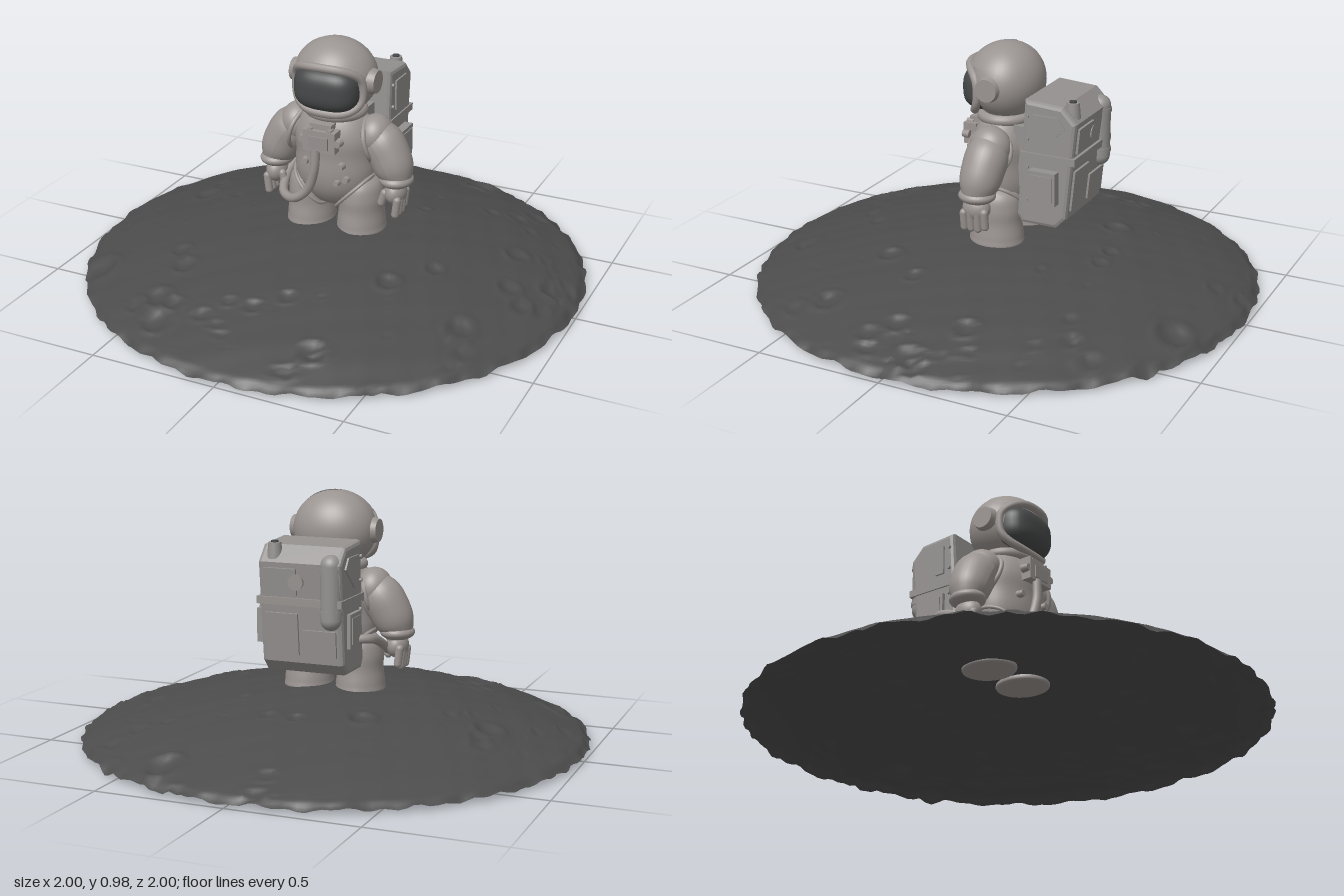
import * as THREE from 'three';

const mat = (name, color, side = THREE.FrontSide) => {
  const m = new THREE.MeshStandardMaterial({ color, side });
  m.name = name;
  return m;
};

export function createModel() {
  const suit = mat('suit grey', 0x9a9491);
  const pack = mat('pack grey', 0x94918f);
  const visorMat = mat('visor dark', 0x474849);
  const rock = mat('moon rock', 0x4c4c4c, THREE.DoubleSide);
  const root = new THREE.Group();
  root.name = 'astronautOnMoon';

  // ---- helpers ----
  const V = (x, y, z) => new THREE.Vector3(x, y, z);
  const add = (name, geo, material, x = 0, y = 0, z = 0) => {
    const m = new THREE.Mesh(geo, material);
    m.name = name;
    m.position.set(x, y, z);
    root.add(m);
    return m;
  };
  const ball = (name, material, x, y, z, rx, ry, rz) =>
    add(name, new THREE.SphereGeometry(1, 40, 28).scale(rx, ry, rz), material, x, y, z);
  const box = (name, material, x, y, z, w, h, d) =>
    add(name, new THREE.BoxGeometry(w, h, d), material, x, y, z);
  const lathe = (name, pts, zScale, x, z) => {
    const curve = new THREE.SplineCurve(pts.map(p => new THREE.Vector2(...p)));
    const profile = curve.getPoints(30).map(p => p.setX(Math.max(p.x, 0)));
    return add(name, new THREE.LatheGeometry(profile, 44).scale(1, 1, zScale), suit, x, 0, z);
  };
  const tube = (name, material, pts, r, closed = false) =>
    add(name, new THREE.TubeGeometry(new THREE.CatmullRomCurve3(pts, closed), 56, r, 10, closed), material);
  // Tube whose radius follows a list of values along its length
  const taper = (name, pts, radii) => {
    const curve = new THREE.CatmullRomCurve3(pts);
    const n = 32, sides = 28;
    const geo = new THREE.TubeGeometry(curve, n, 1, sides);
    const radius = new THREE.SplineCurve(radii.map((r, i) => new THREE.Vector2(i, r)));
    const p = geo.attributes.position, v = new THREE.Vector3();
    for (let i = 0; i < p.count; i++) {
      const u = Math.floor(i / (sides + 1)) / n;
      const c = curve.getPointAt(u);
      v.fromBufferAttribute(p, i).sub(c).multiplyScalar(radius.getPoint(u).y).add(c);
      p.setXYZ(i, v.x, v.y, v.z);
    }
    geo.computeVertexNormals();
    return add(name, geo, suit);
  };

  // ---- cratered ground: a thin open dome ----
  let seed = 11;
  const rnd = () => (seed = (seed * 16807) % 2147483647) / 2147483647;
  const craters = [[0.58, -0.54, 0.04], [0.63, -0.64, 0.045], [0.93, -0.1, 0.05], [-0.8, 0.5, 0.08], [-0.34, 0.7, 0.04], [0.32, -0.83, 0.07]];
  for (let i = 0; i < 120; i++) {
    const a = rnd() * Math.PI * 2, d = 0.36 + 0.64 * Math.sqrt(rnd());
    craters.push([d * Math.cos(a), d * Math.sin(a), 0.012 + 0.05 * rnd() ** 3]);
  }
  const ground = new THREE.RingGeometry(0.001, 1, 220, 110).rotateX(-Math.PI / 2);
  const gp = ground.attributes.position;
  for (let i = 0; i < gp.count; i++) {
    const x = gp.getX(i), z = gp.getZ(i), r = Math.hypot(x, z), a = Math.atan2(z, x);
    let y = 0.217 - 0.19 * r * r;
    y += 0.0025 * Math.sin(11 * x + 5 * z) * Math.sin(13 * z - 4 * x) + 0.0015 * Math.sin(37 * x + 9 * z) * Math.sin(31 * z - 12 * x);
    for (const [cx, cz, cr] of craters) {
      const t = Math.hypot(x - cx, z - cz) / cr;
      if (t < 1.6) y += cr * (0.12 * Math.exp(-(((t - 1) / 0.25) ** 2)) - (t < 1 ? 0.2 * (1 - t * t) : 0));
    }
    const edge = THREE.MathUtils.smoothstep(r, 0.96, 1);
    y -= edge * (0.009 + 0.005 * Math.sin(23 * a) + 0.004 * Math.sin(57 * a));
    const k = 1 - edge * 0.005 * (1 + Math.sin(41 * a + Math.sin(17 * a)));
    gp.setXYZ(i, x * k, Math.max(y, 0), z * k);
  }
  ground.computeVertexNormals();
  add('moonGround', ground, rock);

  // ---- torso and legs ----
  lathe('torso', [[0, 0.295], [0.08, 0.31], [0.14, 0.37], [0.163, 0.44], [0.162, 0.52], [0.165, 0.59], [0.14, 0.655], [0.1, 0.69], [0, 0.7]], 0.76, 0, 0);
  for (const s of [-1, 1]) {
    lathe('leg', [[0, 0.197], [0.088, 0.197], [0.094, 0.23], [0.088, 0.29], [0.088, 0.35], [0.07, 0.41], [0, 0.45]], 1.14, s * 0.108, -0.008);
    // hip seam, rising to the outside
    tube('hipSeam', suit, [V(s * 0.162, 0.44, 0), V(s * 0.14, 0.42, 0.075), V(s * 0.085, 0.365, 0.106), V(s * 0.035, 0.31, 0.075), V(s * 0.025, 0.3, 0),
      V(s * 0.035, 0.31, -0.075), V(s * 0.085, 0.365, -0.106), V(s * 0.14, 0.42, -0.075)], 0.007, true);
  }

  // ---- arms, cuffs and gloves ----
  for (const s of [-1, 1]) {
    ball('shoulder', suit, s * 0.165, 0.605, -0.01, 0.07, 0.08, 0.082);
    taper('sleeve', [V(s * 0.15, 0.625, -0.01), V(s * 0.2, 0.565, -0.01), V(s * 0.237, 0.5, -0.005), V(s * 0.256, 0.45, 0), V(s * 0.26, 0.415, 0.003)],
      [0.065, 0.083, 0.083, 0.075, 0.048]);
    ball('cuff', suit, s * 0.257, 0.438, 0, 0.067, 0.032, 0.073);
    tube('armholeSeam', suit, [V(s * 0.13, 0.67, 0), V(s * 0.15, 0.62, 0.078), V(s * 0.168, 0.55, 0.075), V(s * 0.17, 0.49, 0),
      V(s * 0.168, 0.55, -0.085), V(s * 0.15, 0.62, -0.085)], 0.009, true);
    ball('palm', suit, s * 0.257, 0.385, 0.003, 0.042, 0.05, 0.056);
    for (let i = 0; i < 4; i++) {
      const f = add('finger', new THREE.CapsuleGeometry(0.0155, 0.06, 5, 12), suit, s * 0.277, 0.338 + (i === 3 ? 0.012 : 0), 0.046 - i * 0.029);
      f.rotation.z = -s * 0.12;
    }
    const thumb = add('thumb', new THREE.CapsuleGeometry(0.016, 0.045, 5, 12), suit, s * 0.215, 0.362, 0.03);
    thumb.rotation.z = -s * 0.3;
  }

  // ---- helmet ----
  ball('helmet', suit, 0, 0.825, -0.005, 0.165, 0.15, 0.14);
  const collar = add('collar', new THREE.TorusGeometry(0.105, 0.022, 14, 48).rotateX(Math.PI / 2), suit, 0, 0.69, 0);
  collar.scale.z = 0.92;
  const hood = new THREE.SphereGeometry(1, 40, 16, 0, Math.PI, 0, 1.1).scale(0.167, 0.152, 0.162);
  const hoodMat = mat('hood grey', 0x9a9491, THREE.DoubleSide);
  add('hood', hood, hoodMat, 0, 0.825, -0.005);
  // boxy bulging visor
  const visor = new THREE.SphereGeometry(1, 48, 32);
  const vp = visor.attributes.position;
  for (let i = 0; i < vp.count; i++) {
    const x = vp.getX(i), y = vp.getY(i), z = vp.getZ(i);
    const k = Math.cbrt(Math.abs(x) ** 3 + Math.abs(y) ** 3 + Math.abs(z) ** 3);
    vp.setXYZ(i, 0.133 * x / k, 0.09 * y / k, 0.108 * z / k);
  }
  visor.computeVertexNormals();
  add('visor', visor, visorMat, 0, 0.8, 0.05);
  // frame around the visor
  const rim = [];
  for (let i = 0; i < 24; i++) {
    const t = i / 24 * Math.PI * 2, c = Math.cos(t), s = Math.sin(t);
    rim.push(V(0.141 * Math.sign(c) * Math.abs(c) ** 0.7, 0.8 + 0.096 * Math.sign(s) * Math.abs(s) ** 0.7,
      0.06 + (s > 0 ? 0.075 : 0.05) * s * s));
  }
  tube('visorFrame', suit, rim, 0.016, true);
  for (const s of [-1, 1]) {
    const ear = add('earPiece', new THREE.CylinderGeometry(0.044, 0.055, 0.04, 32), suit, s * 0.158, 0.825, 0.005);
    ear.rotation.z = -s * Math.PI / 2;
  }

  // ---- chest unit, studs and hose ----
  box('chestUnit', suit, 0, 0.605, 0.13, 0.135, 0.085, 0.055);
  box('chestUnitTop', suit, 0, 0.655, 0.118, 0.09, 0.03, 0.045);
  box('chestPlate', pack, 0, 0.6, 0.159, 0.08, 0.05, 0.008);
  const stud = (x, y, z, r) =>
    add('stud', new THREE.CylinderGeometry(r * 0.8, r, 0.03, 18).rotateX(Math.PI / 2), suit, x, y, z);
  for (const s of [-1, 1]) {
    stud(s * 0.075, 0.605, 0.14, 0.017);
    stud(s * 0.04, 0.648, 0.14, 0.011);
    stud(s * 0.075, 0.5, 0.116, 0.016);
  }
  stud(0.092, 0.445, 0.104, 0.015);
  stud(0.06, 0.43, 0.118, 0.013);
  tube('hose', suit, [V(-0.015, 0.57, 0.15), V(-0.022, 0.48, 0.152), V(-0.055, 0.39, 0.145), V(-0.12, 0.338, 0.135), V(-0.185, 0.335, 0.09),
    V(-0.215, 0.37, 0), V(-0.212, 0.42, -0.1), V(-0.205, 0.44, -0.18), V(-0.15, 0.44, -0.22)], 0.018);

  // ---- backpack ----
  const side = new THREE.Shape([[0.15, 0.81], [0.305, 0.8], [0.362, 0.74], [0.325, 0.36], [0.285, 0.317], [0.14, 0.317], [0.12, 0.35]].map(p => new THREE.Vector2(...p)));
  const body = new THREE.ExtrudeGeometry(side, { depth: 0.3, bevelThickness: 0.015, bevelSize: 0.015, bevelOffset: -0.015, bevelSegments: 2 });
  add('backpack', body.rotateY(Math.PI / 2).translate(-0.15, 0, 0), pack);
  box('packMount', pack, 0, 0.56, -0.11, 0.2, 0.24, 0.07);
  box('packStrap', pack, 0, 0.595, -0.25, 0.342, 0.028, 0.222);
  for (const s of [-1, 1]) {
    box('sideHatch', pack, s * 0.17, 0.485, -0.24, s > 0 ? 0.06 : 0.02, 0.13, 0.11);
    box('sideHatchLid', pack, s > 0 ? 0.201 : -0.181, 0.485, -0.24, 0.006, 0.1, 0.085);
    const tri = new THREE.Shape([[0.19, 0.64], [0.19, 0.76], [0.29, 0.76], [0.32, 0.72], [0.23, 0.64]].map(p => new THREE.Vector2(...p)));
    add('sidePanel', new THREE.ExtrudeGeometry(tri, { depth: 0.008, bevelEnabled: false }).rotateY(Math.PI / 2), pack, s > 0 ? 0.164 : -0.172, 0, 0);
    for (const y of [0.42, 0.55, 0.66, 0.75]) {
      const bolt = add('bolt', new THREE.CylinderGeometry(0.007, 0.007, 0.012, 10), pack, s * 0.168, y, -0.165);
      bolt.rotation.z = Math.PI / 2;
    }
  }
  // panels on the sloping back face
  for (const [x, y, w, h] of [[0.075, 0.47, 0.13, 0.16], [-0.075, 0.44, 0.13, 0.1], [0.075, 0.67, 0.13, 0.1]]) {
    const p = box('backPanel', pack, x, y, -(0.325 + (y - 0.36) * 0.0974), w, h, 0.018);
    p.rotation.x = -0.097;
  }
  const dial = add('backDial', new THREE.CylinderGeometry(0.026, 0.03, 0.03, 24), pack, 0.01, 0.67, -0.355);
  dial.rotation.x = Math.PI / 2;
  add('topValve', new THREE.CylinderGeometry(0.024, 0.03, 0.06, 24), pack, 0.11, 0.78, -0.325);
  add('topValveCap', new THREE.CylinderGeometry(0.014, 0.014, 0.012, 18), visorMat, 0.11, 0.81, -0.325);
  // gas tank with bands
  add('tank', new THREE.CapsuleGeometry(0.041, 0.2, 8, 28), pack, -0.12, 0.635, -0.336);
  for (const y of [0.56, 0.72]) add('tankBand', new THREE.CylinderGeometry(0.044, 0.044, 0.018, 28), pack, -0.12, y, -0.336);
  return root;
}
